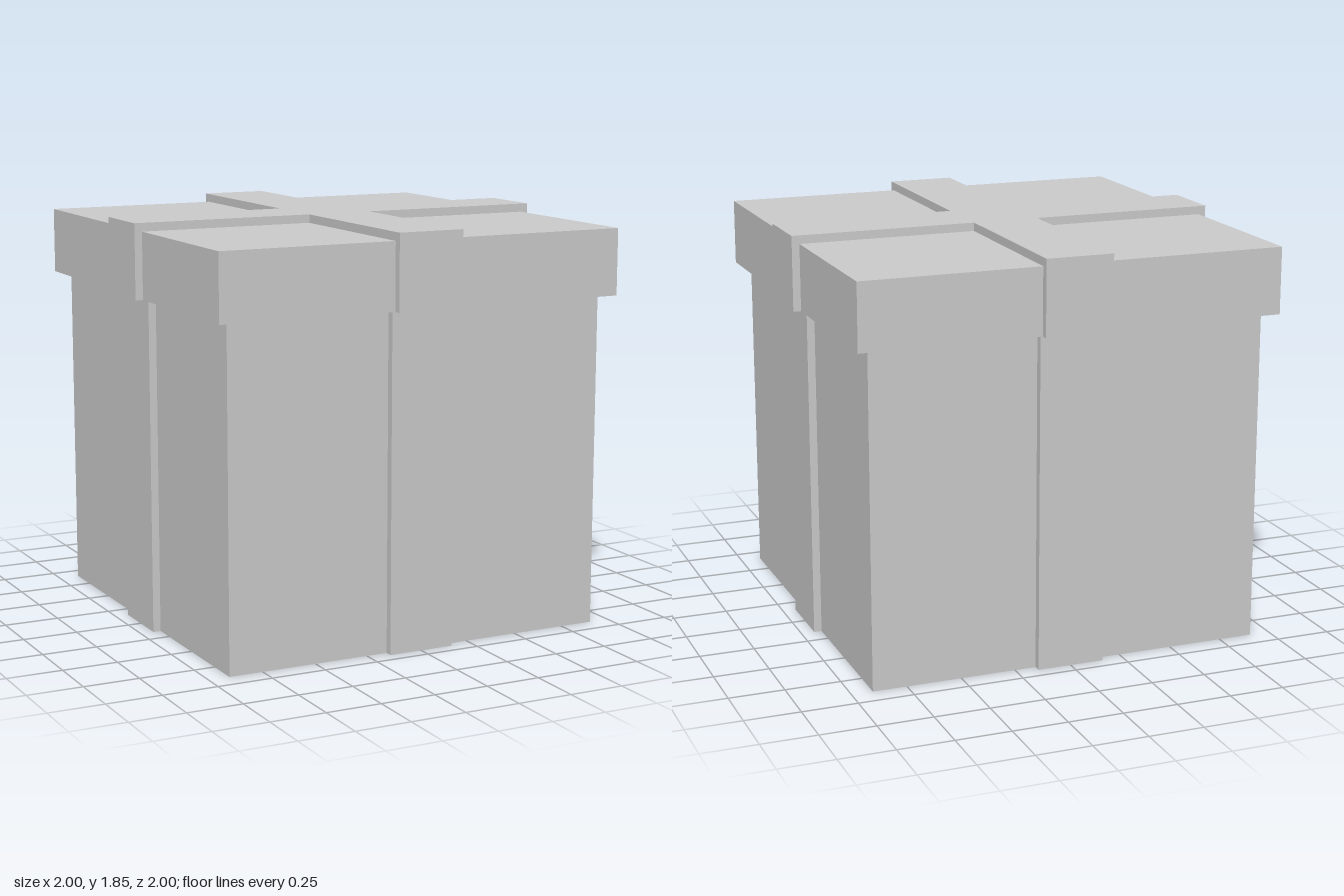
import * as THREE from 'three';

const BODY = 0.905, LID = 0.965, RIBBON = 0.153, THICK = 0.035;
const LID_BOTTOM = 1.51, LID_TOP = 1.81, TOP = 1.848;

export function createModel() {
  const model = new THREE.Group();
  model.name = 'giftBox';
  const grey = new THREE.MeshStandardMaterial({ color: 0xcccccc });
  grey.name = 'light grey';

  const add = (name, geometry, parent = model) => {
    const mesh = new THREE.Mesh(geometry, grey);
    mesh.name = name;
    parent.add(mesh);
    return mesh;
  };
  // Box standing between two heights
  const block = (w, y0, y1, d, z = 0) =>
    new THREE.BoxGeometry(w, y1 - y0, d).translate(0, (y0 + y1) / 2, z);

  add('boxBody', block(2 * BODY, 0, LID_BOTTOM, 2 * BODY));
  add('lid', block(2 * LID, LID_BOTTOM, LID_TOP, 2 * LID));

  // Ribbon strips down each of the four sides
  ['front', 'left', 'back', 'right'].forEach((side, i) => {
    const ribbon = new THREE.Group();
    ribbon.name = side + 'Ribbon';
    ribbon.rotation.y = i * Math.PI / 2;
    add('bodyRibbon', block(2 * RIBBON, 0, LID_BOTTOM, THICK, BODY + THICK / 2), ribbon);
    add('lidRibbon', block(2 * RIBBON, LID_BOTTOM, LID_TOP, THICK, LID + THICK / 2), ribbon);
    model.add(ribbon);
  });

  // Crossed ribbon on the lid, one arm per quarter turn
  const points = [];
  for (let i = 0; i < 4; i++) {
    for (const [x, y] of [[1, -RIBBON], [1, RIBBON], [RIBBON, RIBBON]]) {
      points.push(new THREE.Vector2(x, y).rotateAround(new THREE.Vector2(), i * Math.PI / 2));
    }
  }
  const cross = new THREE.ExtrudeGeometry(new THREE.Shape(points), { depth: TOP - LID_TOP, bevelEnabled: false });
  add('topRibbonCross', cross.rotateX(-Math.PI / 2).translate(0, LID_TOP, 0));

  return model;
}
